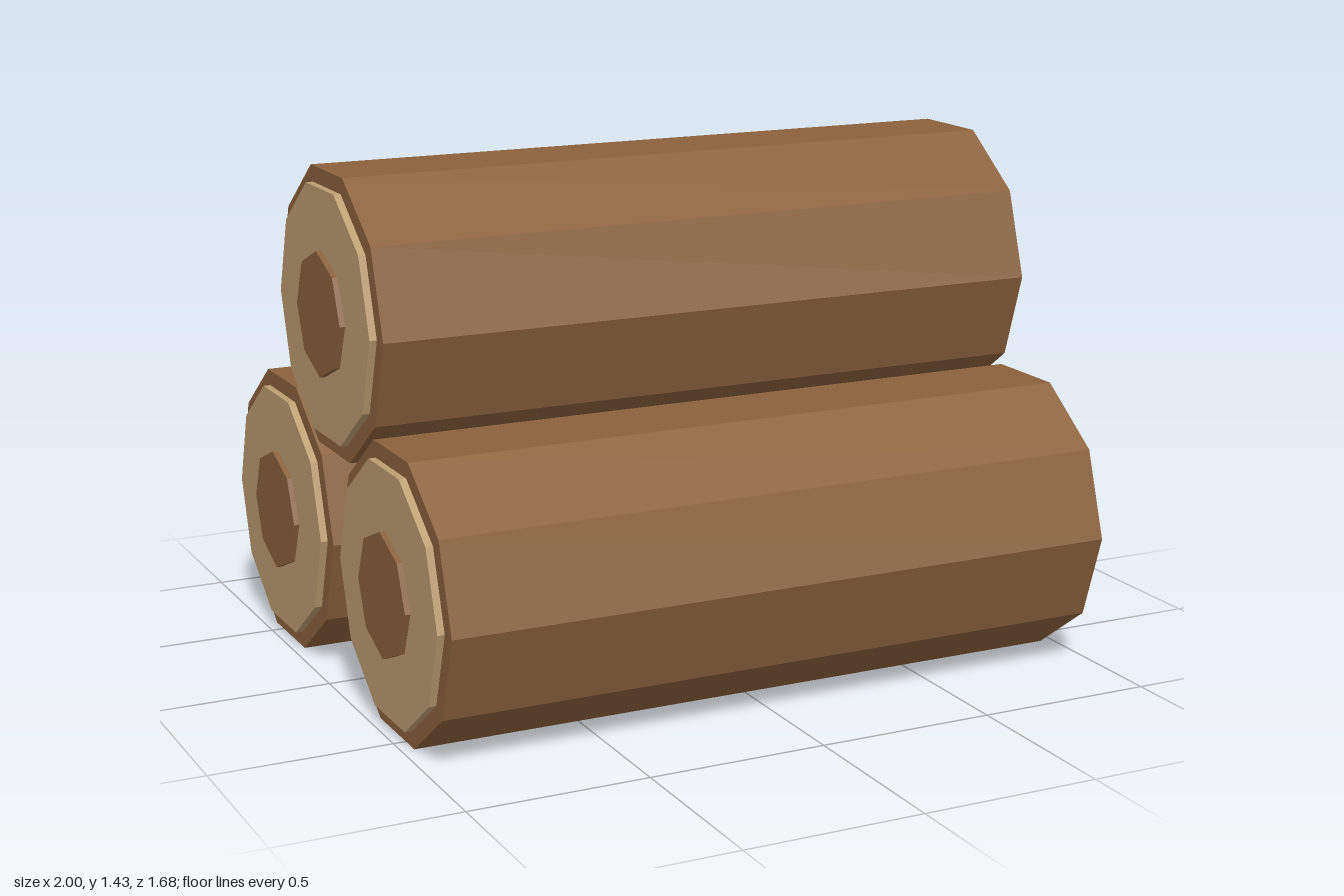
import * as THREE from 'three';

export function createModel() {
  const model = new THREE.Group();
  model.name = 'logPile';

  const bark = new THREE.MeshStandardMaterial({ color: 0x8b613c, flatShading: true });
  bark.name = 'bark brown';
  const wood = new THREE.MeshStandardMaterial({ color: 0xbc9d70, flatShading: true });
  wood.name = 'cut wood tan';

  // Prism lying along x
  const prism = (radius, length, sides) =>
    new THREE.CylinderGeometry(radius, radius, length, sides).rotateZ(Math.PI / 2);

  const barkGeo = prism(0.404, 1.93, 10);
  const faceGeo = prism(0.357, 0.04, 10);
  const coreGeo = prism(0.173, 0.04, 8);

  function add(parent, name, geometry, material, x = 0) {
    const mesh = new THREE.Mesh(geometry, material);
    mesh.name = name;
    mesh.position.x = x;
    parent.add(mesh);
  }

  // One log: bark, with a raised cut face and heartwood at each end
  function makeLog(name, y, z) {
    const log = new THREE.Group();
    log.name = name;
    log.position.set(0, y, z);
    add(log, 'barkBody', barkGeo, bark);
    for (const [side, s] of [['left', 1], ['right', -1]]) {
      add(log, side + 'CutFace', faceGeo, wood, s * 0.965);
      add(log, side + 'Heartwood', coreGeo, bark, s * 0.98);
    }
    model.add(log);
  }

  makeLog('frontLog', 0.386, 0.436);
  makeLog('backLog', 0.386, -0.436);
  makeLog('topLog', 1.044, 0);

  return model;
}
